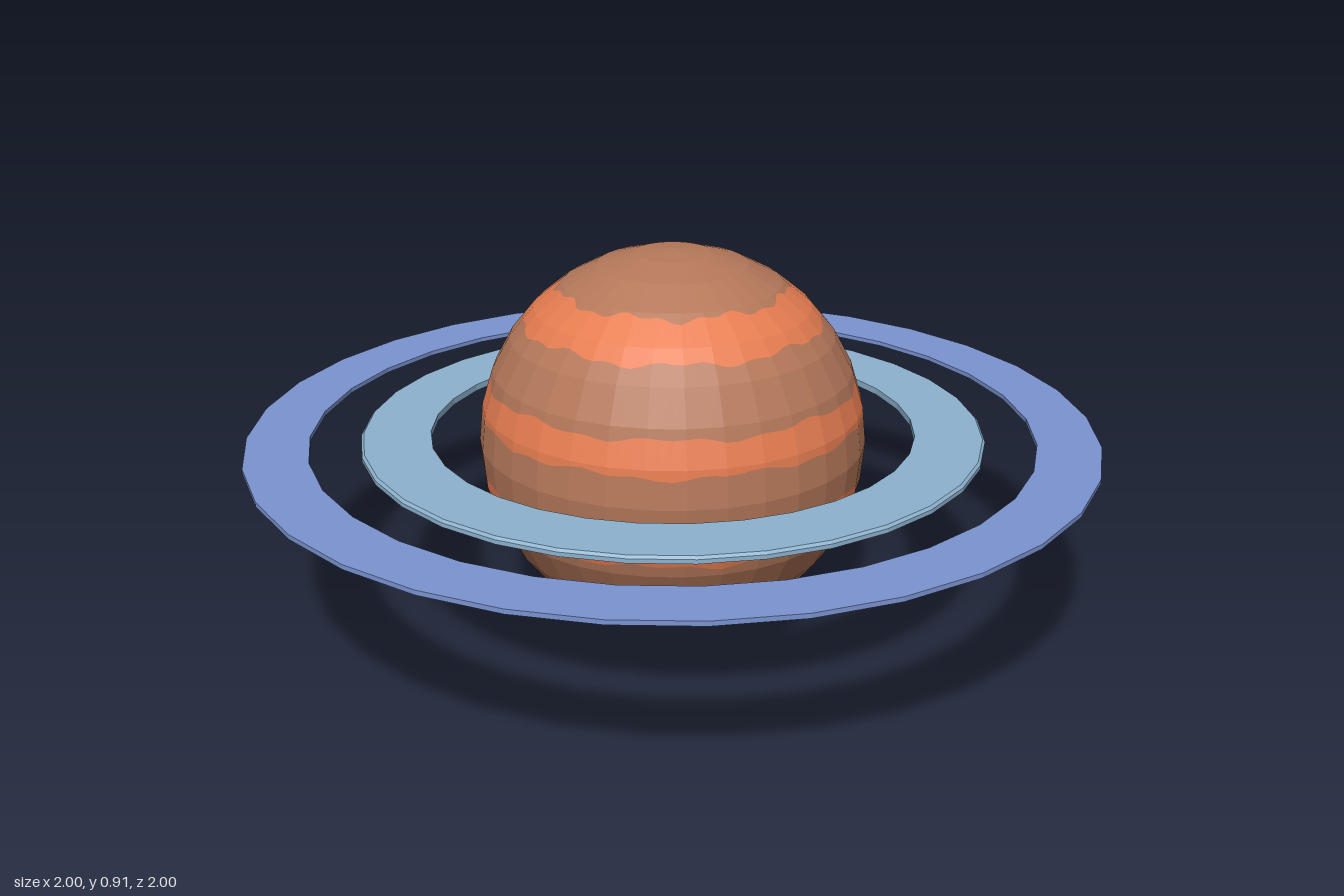
import * as THREE from 'three';

const SIDES = 32, ROWS = 16, SUB = 3;
const R = 0.456, CY = 0.459;

const mat = (name, color) => {
  const m = new THREE.MeshStandardMaterial({ color });
  m.name = name;
  return m;
};

// Heights and radii of the faceted globe, bottom to top
const rings = Array.from({ length: ROWS + 1 }, (_, i) => {
  const t = Math.PI * (i / ROWS - 0.5);
  return { y: CY + R * Math.sin(t), r: i % ROWS ? R * Math.cos(t) : 0 };
});

function radiusAt(y) {
  let i = 0;
  while (i < ROWS - 1 && y > rings[i + 1].y) i++;
  const a = rings[i], b = rings[i + 1];
  return THREE.MathUtils.lerp(a.r, b.r, (y - a.y) / (b.y - a.y));
}

// Point on the flat facet under column step k at height y
function surfacePoint(k, y) {
  const c = Math.floor(k / SUB), f = (k % SUB) / SUB, s = (2 * Math.PI) / SIDES;
  const r = radiusAt(y);
  return new THREE.Vector3(
    r * THREE.MathUtils.lerp(Math.sin(c * s), Math.sin((c + 1) * s), f), y,
    r * THREE.MathUtils.lerp(Math.cos(c * s), Math.cos((c + 1) * s), f));
}

// Slightly wavy edge between two bands
function edge(y, k) {
  if (y <= rings[0].y || y >= rings[ROWS].y) return y;
  const a = (2 * Math.PI * k) / (SIDES * SUB), p = y * 40;
  return y + 0.005 * Math.sin(8 * a + p) + 0.004 * Math.sin(20 * a + 2 * p);
}

// One band of the globe between two wavy edges
function bandGeometry(low, high) {
  const pts = [], ab = new THREE.Vector3(), ac = new THREE.Vector3();
  const tri = (a, b, c) => {
    ab.subVectors(b, a).cross(ac.subVectors(c, a));
    if (ab.length() > 1e-7) pts.push(a, b, c);
  };
  for (let k = 0; k < SIDES * SUB; k++) {
    const at = (n, y) => surfacePoint(n, THREE.MathUtils.clamp(y, edge(low, n), edge(high, n)));
    for (let i = 0; i < ROWS; i++) {
      const y0 = rings[i].y, y1 = rings[i + 1].y;
      const a = at(k, y0), b = at(k + 1, y0), c = at(k + 1, y1), d = at(k, y1);
      tri(a, b, c);
      tri(a, c, d);
    }
  }
  const g = new THREE.BufferGeometry().setFromPoints(pts);
  g.computeVertexNormals();
  return g;
}

// Flat-faced ring turned from a closed cross-section
function ringGeometry(profile) {
  const loop = [...profile, profile[0]].map(([r, y]) => new THREE.Vector2(r, y));
  const g = new THREE.LatheGeometry(loop, SIDES).toNonIndexed();
  g.computeVertexNormals();
  return g;
}

export function createModel() {
  const model = new THREE.Group();
  model.name = 'ringedPlanet';
  const add = (name, geometry, material) => {
    const m = new THREE.Mesh(geometry, material);
    m.name = name;
    model.add(m);
  };

  // Globe: alternating bands from bottom to top
  const brown = mat('brown', 0xb5785a), orange = mat('orange', 0xe87e52);
  const edges = [rings[0].y, 0.09, 0.17, 0.31, 0.39, 0.53, 0.608, 0.75, 0.828, rings[ROWS].y];
  for (let i = 0; i < edges.length - 1; i++) {
    add((i % 2 ? 'orangeBand' : 'brownBand') + (i + 1),
      bandGeometry(edges[i], edges[i + 1]), i % 2 ? orange : brown);
  }

  // Rings: the inner one is thicker with a bevelled outer rim
  add('innerRing', ringGeometry([[0.57, 0.465], [0.733, 0.465], [0.733, 0.475], [0.727, 0.481], [0.57, 0.481]]),
    mat('paleBlue', 0x8db2ce));
  add('outerRing', ringGeometry([[0.852, 0.464], [1, 0.464], [1, 0.475], [0.852, 0.475]]),
    mat('periwinkle', 0x7a93d0));
  return model;
}
